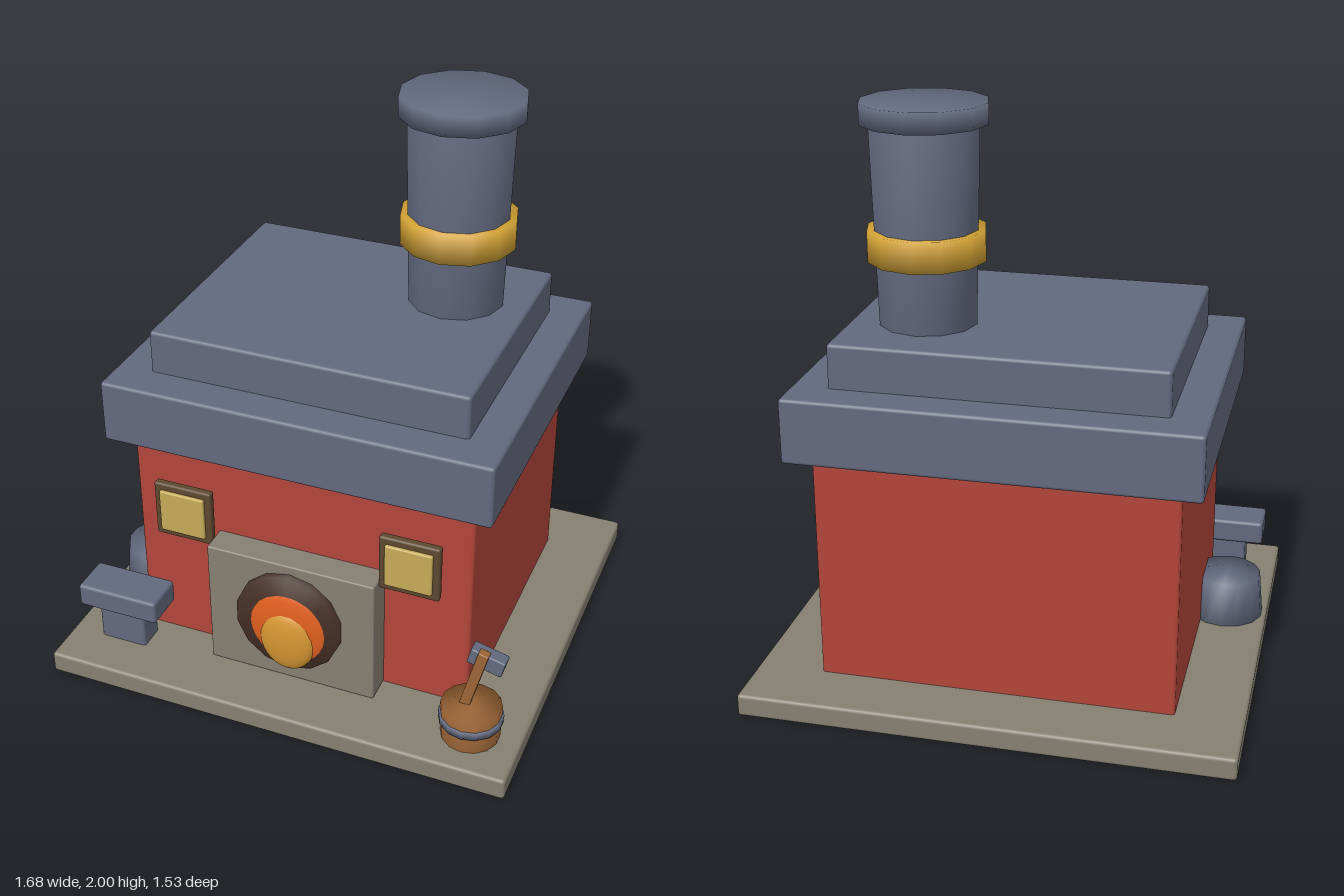
import * as THREE from 'three';
import { RoundedBoxGeometry } from 'three/addons/geometries/RoundedBoxGeometry.js';
import { mergeVertices } from 'three/addons/utils/BufferGeometryUtils.js';

const paint = (name, color) => {
  const m = new THREE.MeshStandardMaterial({ color });
  m.name = name;
  return m;
};

export function createModel() {
  const red = paint('brick red', 0xb2453a);
  const slate = paint('slate', 0x62697e);
  const stone = paint('stone', 0x868071);
  const gold = paint('gold', 0xd0a034);
  const glass = paint('window glow', 0xc4aa58);
  const wood = paint('wood', 0x9c6536);
  const frameBrown = paint('frame brown', 0x5e4830);
  const soot = paint('soot', 0x463026);
  const orange = paint('flame orange', 0xe0601f);
  const amber = paint('flame amber', 0xd49632);

  const model = new THREE.Group();
  model.name = 'forge';

  const add = (name, geometry, material, x, y, z, parent = model) => {
    const mesh = new THREE.Mesh(geometry, material);
    mesh.name = name;
    mesh.position.set(x, y, z);
    parent.add(mesh);
    return mesh;
  };

  // Box given by its lower and upper limits, with softened edges
  const block = (name, material, [x0, x1], [y0, y1], [z0, z1], radius = 0.012, parent = model) =>
    add(name, new RoundedBoxGeometry(x1 - x0, y1 - y0, z1 - z0, 2, radius), material,
      (x0 + x1) / 2, (y0 + y1) / 2, (z0 + z1) / 2, parent);

  // Tapered drum whose normals are shared between side and caps
  const drumGeometry = (top, bottom, height, sides) => {
    const g = new THREE.CylinderGeometry(top, bottom, height, sides);
    g.deleteAttribute('normal');
    g.deleteAttribute('uv');
    const welded = mergeVertices(g, 1e-4);
    welded.computeVertexNormals();
    return welded;
  };
  const drum = (name, material, x, z, [y0, y1], bottom, top, sides = 12, parent = model) =>
    add(name, drumGeometry(top, bottom, y1 - y0, sides), material, x, (y0 + y1) / 2, z, parent);

  // Building
  block('basePlate', stone, [-0.84, 0.84], [0, 0.08], [-0.765, 0.765]);
  block('walls', red, [-0.61, 0.61], [0.07, 0.89], [-0.555, 0.46]);
  block('lowerRoof', slate, [-0.685, 0.685], [0.885, 1.11], [-0.635, 0.535]);
  block('upperRoof', slate, [-0.56, 0.56], [1.09, 1.262], [-0.51, 0.405]);

  // Chimney
  const chimney = new THREE.Group();
  chimney.name = 'chimney';
  chimney.position.set(0.304, 0, -0.205);
  model.add(chimney);
  drum('chimneyShaft', slate, 0, 0, [1.2, 1.96], 0.165, 0.185, 12, chimney);
  drum('chimneyBand', gold, 0, 0, [1.48, 1.585], 0.2, 0.2, 12, chimney);
  drum('chimneyCap', slate, 0, 0, [1.93, 2], 0.213, 0.213, 12, chimney);

  // Windows
  for (const side of [-1, 1]) {
    const cx = side * 0.41;
    block('windowFrame', frameBrown, [cx - 0.106, cx + 0.106], [0.535, 0.745], [0.49, 0.52], 0.008);
    block('windowPane', glass, [cx - 0.083, cx + 0.083], [0.56, 0.72], [0.51, 0.532], 0.006);
  }

  // Furnace mouth and fire
  block('furnaceSurround', stone, [-0.305, 0.305], [0.08, 0.56], [0.44, 0.56], 0.006);
  const mouth = add('furnaceMouth', drumGeometry(0.192, 0.192, 0.07, 14), soot, 0, 0.337, 0.55);
  mouth.rotation.x = Math.PI / 2;
  const flame = (name, material, y, z, rx, ry, rz) =>
    add(name, new THREE.SphereGeometry(1, 20, 14), material, 0, y, z).scale.set(rx, ry, rz);
  flame('outerFlame', orange, 0.313, 0.575, 0.148, 0.148, 0.027);
  flame('innerFlame', amber, 0.266, 0.585, 0.1, 0.121, 0.036);

  // Anvil and quenching stump
  block('anvilTop', slate, [-0.79, -0.487], [0.215, 0.302], [0.48, 0.632]);
  block('anvilFoot', slate, [-0.725, -0.55], [0.07, 0.225], [0.505, 0.607]);
  drum('stump', slate, -0.69, 0.2, [0.07, 0.237], 0.136, 0.12, 14);

  // Bucket
  drum('bucket', wood, 0.664, 0.587, [-0.001, 0.205], 0.098, 0.104, 14);
  drum('bucketHoop', slate, 0.664, 0.587, [0.145, 0.172], 0.11, 0.11, 14);

  // Hammer leaning out of the bucket
  const hammer = new THREE.Group();
  hammer.name = 'hammer';
  hammer.position.set(0.665, 0.3, 0);
  hammer.rotation.z = -0.25;
  model.add(hammer);
  block('hammerHandle', wood, [-0.018, 0.018], [-0.15, 0.132], [0.563, 0.595], 0.004, hammer);
  block('hammerHead', slate, [-0.045, 0.077], [0.065, 0.127], [0.535, 0.585], 0.006, hammer);

  return model;
}
